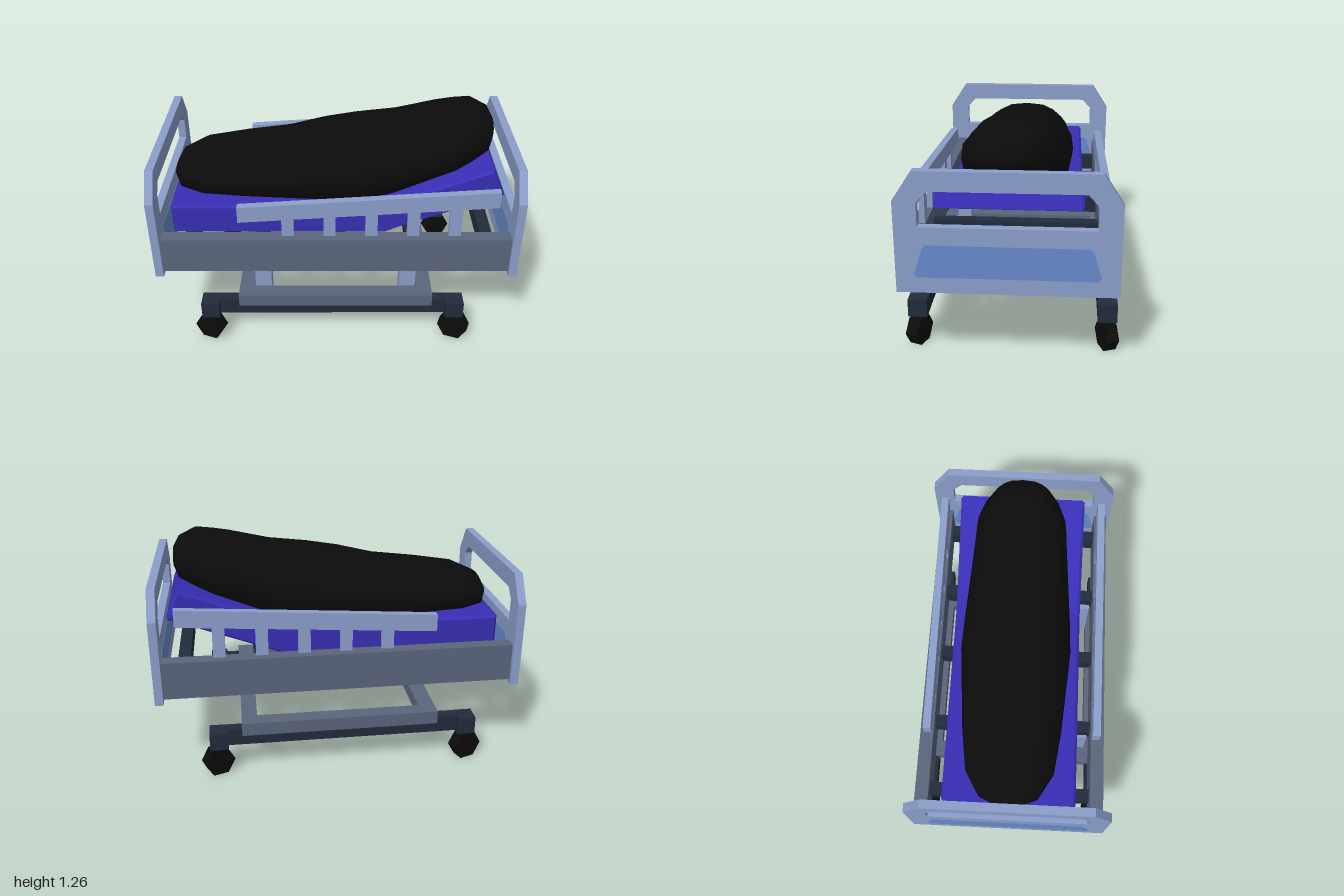
import * as THREE from 'three';

const mat = (name, color) => {
  const m = new THREE.MeshStandardMaterial({ color });
  m.name = name;
  return m;
};

export function createModel() {
  const bed = new THREE.Group();
  bed.name = 'adjustableBed';
  const paleBlue = mat('paleBlue', 0x8c9fcb);
  const panelBlue = mat('panelBlue', 0x668bca);
  const slate = mat('slateGrey', 0x5b667d);
  const navy = mat('darkNavy', 0x212c3b);
  const purple = mat('mattressPurple', 0x392eb6);
  const black = mat('black', 0x0c0c0c);

  const add = (name, geometry, material) => {
    const mesh = new THREE.Mesh(geometry, material);
    mesh.name = name;
    bed.add(mesh);
    return mesh;
  };
  // Box given by its limits on each axis
  const box = (name, material, [x0, x1], [y0, y1], [z0, z1]) =>
    add(name, new THREE.BoxGeometry(x1 - x0, y1 - y0, z1 - z0), material)
      .position.set((x0 + x1) / 2, (y0 + y1) / 2, (z0 + z1) / 2);
  const points = (list) => list.map(([x, y]) => new THREE.Vector2(x, y));
  // Extrusion centred on its own depth
  const plate = (shape, depth) =>
    new THREE.ExtrudeGeometry(shape, { depth, bevelEnabled: false }).translate(0, 0, -depth / 2);

  // End boards with a grip opening and an inlaid panel on both faces
  const board = new THREE.Shape(points([
    [-0.545, 0.455], [0.545, 0.455], [0.545, 0.93], [0.447, 1.08], [-0.447, 1.08], [-0.545, 0.93]]));
  board.holes.push(new THREE.Path(points([
    [-0.43, 0.8], [-0.43, 0.922], [-0.378, 0.98], [0.378, 0.98], [0.43, 0.922], [0.43, 0.8]])));
  const inlay = new THREE.Shape(points([
    [-0.44, 0.538], [0.44, 0.538], [0.453, 0.555], [0.41, 0.695], [0.395, 0.708],
    [-0.395, 0.708], [-0.41, 0.695], [-0.453, 0.555]]));
  for (const side of [-1, 1]) {
    for (const [name, shape, depth, material] of [
      ['endBoard', board, 0.045, paleBlue], ['endBoardPanel', inlay, 0.049, panelBlue]]) {
      const mesh = add(name, plate(shape, depth), material);
      mesh.rotation.y = Math.PI / 2;
      mesh.position.x = side * 0.976;
    }
  }

  // Parts that repeat on the front and back sides
  const guard = new THREE.Shape(points([[-0.53, 0.78], [0.87, 0.875], [0.87, 0.97], [-0.53, 0.875]]));
  for (const s of [-1, 1]) {
    const span = (a, b) => (s > 0 ? [a, b] : [-b, -a]);
    box('sideRail', slate, [-0.955, 0.955], [0.48, 0.69], span(0.45, 0.525));
    add('guardRail', plate(guard, 0.042), paleBlue).position.z = s * 0.468;
    for (let i = 0; i < 5; i++) {
      const x = -0.262 + i * 0.227;
      box('guardSlat', paleBlue, [x - 0.033, x + 0.033], [0.62, 0.84 + x * 0.068], span(0.453, 0.483));
    }
    box('lowerFrameRail', slate, [-0.553, 0.547], [0.225, 0.3], span(0.437, 0.525));
    box('baseBeam', navy, [-0.72, 0.68], [0.166, 0.264], span(0.455, 0.515));
    for (const x of [-0.715, 0.675]) {
      box('casterBlock', navy, [x - 0.05, x + 0.05], [0.165, 0.265], span(0.455, 0.558));
      // Hexagonal wheel, swivelled outwards
      const wheel = new THREE.CylinderGeometry(0.0866, 0.0866, 0.07, 6).toNonIndexed();
      wheel.rotateY(Math.PI / 2).rotateX(Math.PI / 2).rotateY(-s * 0.35);
      wheel.computeVertexNormals();
      add('casterWheel', wheel, black).position.set(x < 0 ? -0.725 : 0.685, 0.075, s * 0.508);
    }
  }

  // Cross members and lift posts
  for (const x of [-0.812, -0.415, 0.018, 0.425, 0.843])
    box('crossBeam', navy, [x - 0.034, x + 0.034], [0.53, 0.62], [-0.45, 0.45]);
  for (const [x0, x1] of [[-0.553, -0.46], [0.46, 0.547]])
    box('lowerFrameCrossBeam', slate, [x0, x1], [0.226, 0.299], [-0.437, 0.437]);
  for (const x of [-0.415, 0.408])
    box('liftPost', paleBlue, [x - 0.046, x + 0.046], [0.23, 0.56], [0.35, 0.437]);

  // Mattress with a raised head section
  const profile = new THREE.Shape(points([
    [-0.91, 0.622], [0.27, 0.622], [0.36, 0.66], [0.92, 0.87], [0.85, 1.03], [0.32, 0.83], [0.22, 0.8], [-0.91, 0.8]]));
  add('mattress', new THREE.ExtrudeGeometry(profile, {
    depth: 0.7, bevelThickness: 0.015, bevelSize: 0.012, bevelOffset: -0.012, bevelSegments: 1,
  }).translate(0, 0, -0.35), purple);

  // Domed cover: [x, half width, bottom, top] sections along the bed
  const sections = [
    [-0.925, 0.07, 0.83, 0.87], [-0.885, 0.16, 0.795, 0.94], [-0.75, 0.24, 0.79, 1.0],
    [-0.52, 0.272, 0.79, 1.035], [-0.27, 0.293, 0.79, 1.065], [-0.06, 0.31, 0.79, 1.118],
    [0.12, 0.302, 0.79, 1.152], [0.34, 0.285, 0.83, 1.18], [0.57, 0.265, 0.91, 1.235],
    [0.66, 0.258, 0.945, 1.25], [0.755, 0.215, 0.985, 1.265], [0.85, 0.15, 1.03, 1.22], [0.88, 0.08, 1.08, 1.165]];
  const half = [[0.93, 0], [1, 0.3], [0.96, 0.56], [0.72, 0.8], [0.44, 0.95]];
  const ring = [...half, [0, 1], ...half.map(([z, y]) => [-z, y]).reverse()];
  const n = ring.length;
  const pos = [];
  const index = [];
  for (const [x, w, y0, y1] of sections)
    for (const [z, y] of ring) pos.push(x, y0 + (y1 - y0) * y, z * w);
  for (let i = 0; i < sections.length - 1; i++) {
    for (let j = 0; j < n; j++) {
      const a = i * n + j, b = i * n + (j + 1) % n;
      index.push(a, a + n, b, b, a + n, b + n);
    }
  }
  const last = (sections.length - 1) * n;
  for (let j = 1; j < n - 1; j++) index.push(0, j, j + 1, last, last + j + 1, last + j);
  const cover = new THREE.BufferGeometry();
  cover.setAttribute('position', new THREE.Float32BufferAttribute(pos, 3));
  cover.setIndex(index);
  cover.computeVertexNormals();
  add('bodyCover', cover, black);

  return bed;
}
